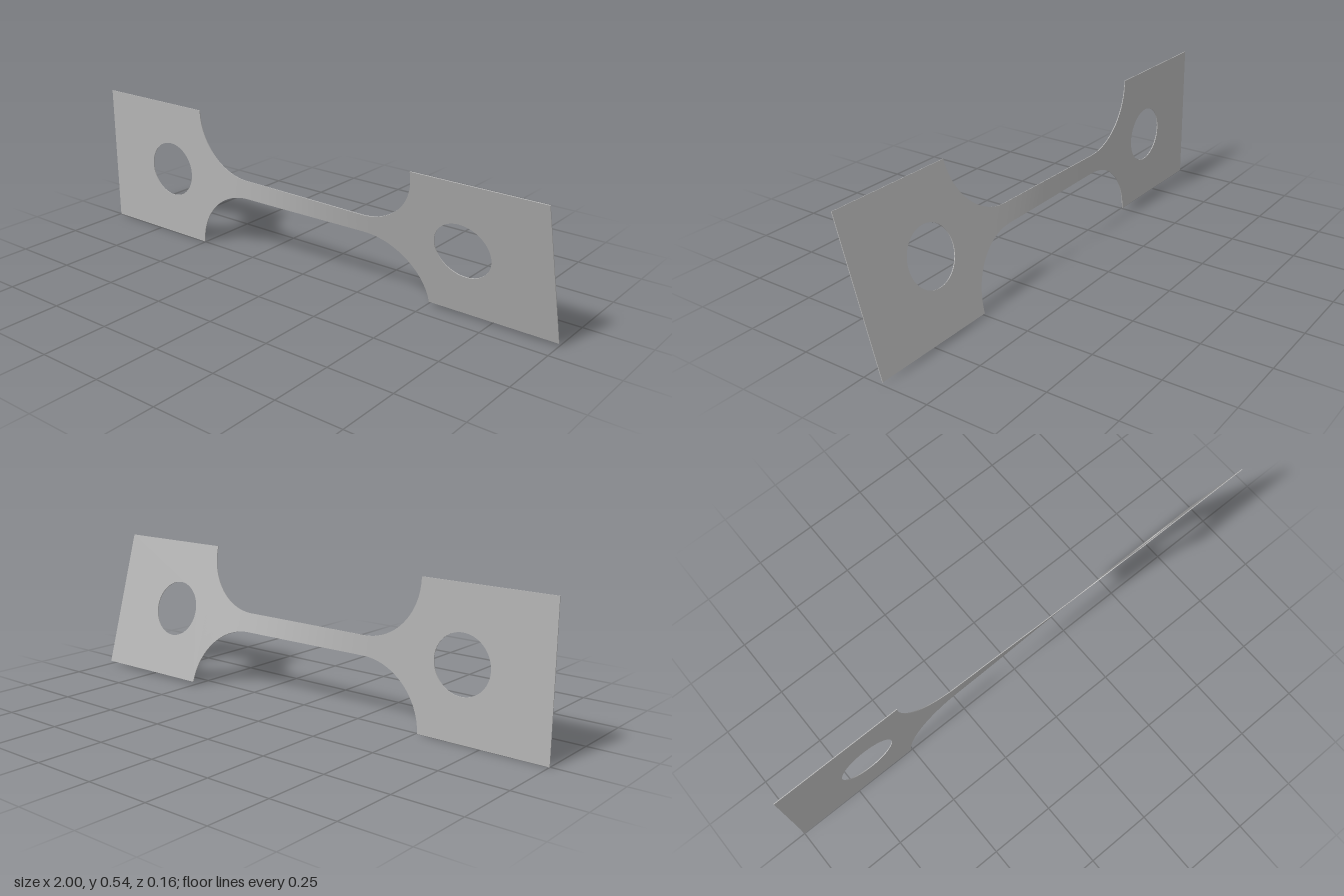
import * as THREE from 'three';

const HALF = 0.2715;      // half height of the end plates
const RADIUS = 0.235;     // shoulder fillet radius
const GAUGE = 0.27;       // half length of the narrow section
const THICK = 0.003;
const SHOULDER = GAUGE + RADIUS;

// twist about the long axis, in radians: nearly flat at -x, tilted at +x
function twist(x) {
  const t = THREE.MathUtils.smoothstep(x, -0.38, 0.38);
  return THREE.MathUtils.degToRad(THREE.MathUtils.lerp(0.5, 16.5, t));
}

// square end plate with a round pin hole
function endPlate(side, material) {
  const shape = new THREE.Shape();
  shape.moveTo(SHOULDER, -HALF);
  shape.lineTo(1, -HALF);
  shape.lineTo(1, HALF);
  shape.lineTo(SHOULDER, HALF);
  shape.closePath();
  const hole = new THREE.Path();
  hole.absarc(0.67, 0, 0.108, 0, Math.PI * 2, true);
  shape.holes.push(hole);
  const geo = new THREE.ExtrudeGeometry(shape, { depth: THICK, bevelEnabled: false, curveSegments: 48 });
  geo.translate(0, 0, -THICK / 2);
  if (side < 0) geo.rotateY(Math.PI);
  geo.rotateX(twist(side));
  const mesh = new THREE.Mesh(geo, material);
  mesh.name = side > 0 ? 'leftEndPlate' : 'rightEndPlate';
  return mesh;
}

// narrow bar with curved shoulders, twisted along its length
function twistedNeck(material) {
  const geo = new THREE.BoxGeometry(2, 2, THICK, 96, 4, 1);
  const p = geo.attributes.position;
  for (let i = 0; i < p.count; i++) {
    const u = p.getX(i), z = p.getZ(i);
    const a = Math.max(0, Math.abs(u) - 0.5) * Math.PI;   // angle round the fillet
    const x = a > 0 ? Math.sign(u) * (GAUGE + RADIUS * Math.sin(a)) : u * 2 * GAUGE;
    const y = p.getY(i) * (HALF - RADIUS * Math.cos(a));
    const t = twist(x), c = Math.cos(t), s = Math.sin(t);
    p.setXYZ(i, x, y * c - z * s, y * s + z * c);
  }
  geo.computeVertexNormals();
  const mesh = new THREE.Mesh(geo, material);
  mesh.name = 'twistedNeck';
  return mesh;
}

export function createModel() {
  const steel = new THREE.MeshStandardMaterial({ color: 0xb4b4b4 });
  steel.name = 'steel grey';
  const group = new THREE.Group();
  group.name = 'twistedTestStrip';
  group.add(endPlate(1, steel), endPlate(-1, steel), twistedNeck(steel));
  group.children.forEach((m) => { m.position.y = HALF; });
  return group;
}
